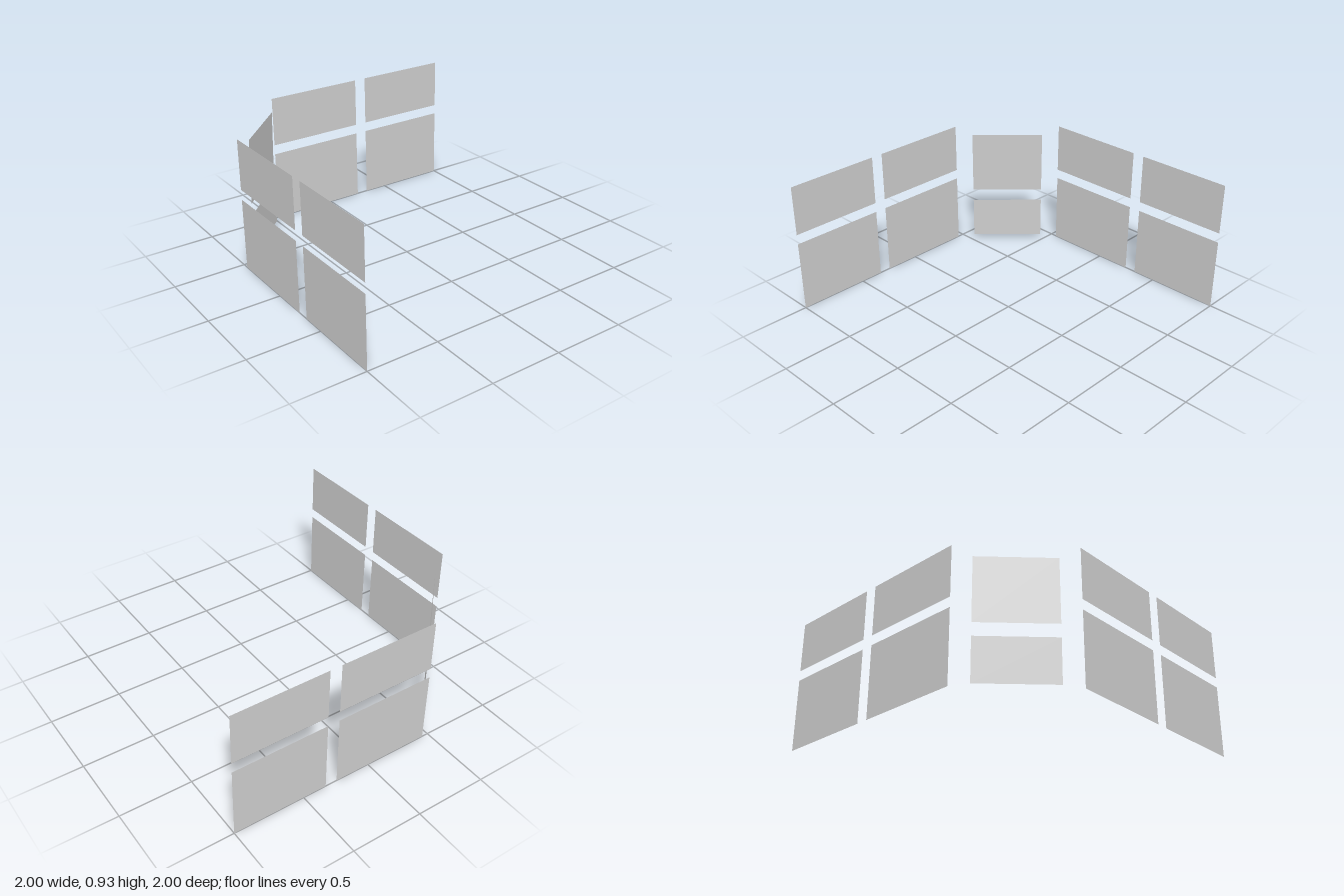
import * as THREE from 'three';

export function createModel() {
  const model = new THREE.Group();
  model.name = 'cornerWindow';
  const paneGrey = new THREE.MeshStandardMaterial({ color: 0xcccccc, side: THREE.DoubleSide });
  paneGrey.name = 'paneGrey';

  // flat pane in the xy plane, spanning x0..x1 and y0..y1
  const pane = (name, parent, x0, x1, y0, y1) => {
    const mesh = new THREE.Mesh(new THREE.PlaneGeometry(x1 - x0, y1 - y0), paneGrey);
    mesh.name = name;
    mesh.position.set((x0 + x1) / 2, (y0 + y1) / 2, 0);
    parent.add(mesh);
    return mesh;
  };

  const columns = [['Inner', -0.455, 0.248], ['Outer', 0.332, 1]];
  const rows = [['Lower', 0, 0.506], ['Upper', 0.576, 0.93]];

  // two walls of four panes, mirrored about the corner diagonal
  for (const side of ['front', 'right']) {
    const wall = new THREE.Group();
    wall.name = side + 'Wall';
    for (const [col, x0, x1] of columns) {
      for (const [row, y0, y1] of rows) {
        if (side === 'front') pane(side + row + col + 'Pane', wall, x0, x1, y0, y1);
        else pane(side + row + col + 'Pane', wall, -x1, -x0, y0, y1);
      }
    }
    if (side === 'front') wall.position.z = 1;
    else {
      wall.rotation.y = -Math.PI / 2;
      wall.position.x = -1;
    }
    model.add(wall);
  }

  // slanted corner panes, each leaning slightly about its centre
  const corner = new THREE.Group();
  corner.name = 'cornerWall';
  corner.rotation.y = -Math.PI / 4;
  const half = 0.26;
  const lower = pane('cornerLowerPane', corner, -half, half, 0.03, 0.33);
  lower.position.z = 0.713 * Math.SQRT2;
  lower.rotation.x = 0.01;
  const upper = pane('cornerUpperPane', corner, -half, half, 0.42, 0.877);
  upper.position.z = 0.7075 * Math.SQRT2;
  upper.rotation.x = -0.03;
  model.add(corner);

  return model;
}
